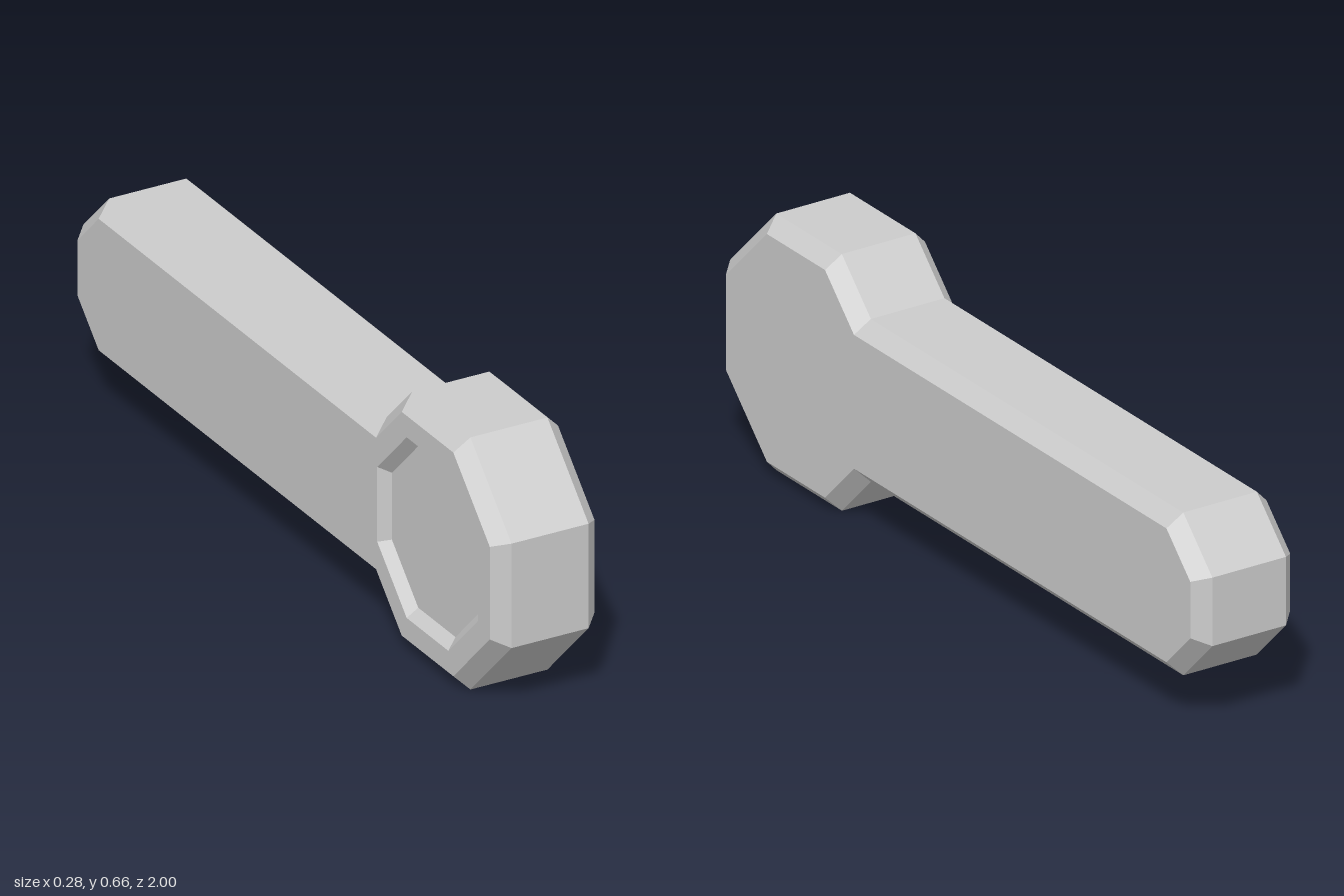
import * as THREE from 'three';

const HALF = 0.14, BEVEL = 0.037, MID_Y = 0.328;
const HEAD_U = -0.672, TAN = Math.tan(Math.PI / 8);

// Profiles run anticlockwise in (u, v), where u points towards the handle end.
// Octagonal head joined to a handle with a chamfered end, shrunk by an inset.
function outline(inset) {
  const r = 0.328 - inset, k = r * TAN;      // head
  const h = 0.208 - inset;                   // handle half height
  const e = 0.0875 - inset * TAN;            // flat end half height
  const end = 1 - inset;
  const upper = [
    [end, e], [end - (h - e), h], [HEAD_U + k + r - h, h],
    [HEAD_U + k, r], [HEAD_U - k, r], [HEAD_U - r, k],
  ];
  const lower = upper.map(([u, v]) => [u, -v]).reverse();
  return [...upper, ...lower].map(([u, v]) => new THREE.Vector2(u, v + MID_Y));
}

function octagon(r) {
  const points = [];
  for (let i = 0; i < 8; i++) {
    const a = (i + 0.5) * Math.PI / 4, R = r / Math.cos(Math.PI / 8);
    points.push(new THREE.Vector2(HEAD_U + R * Math.cos(a), MID_Y + R * Math.sin(a)));
  }
  return points;
}

// Wall joining two matching rings
function band(out, a, wa, b, wb) {
  a.forEach((p, i) => {
    const j = (i + 1) % a.length, q = a[j], s = b[j], t = b[i];
    out.push(p.x, p.y, wa, q.x, q.y, wa, s.x, s.y, wb);
    out.push(p.x, p.y, wa, s.x, s.y, wb, t.x, t.y, wb);
  });
}

// Flat face, optionally with holes
function cap(out, ring, w, flip, holes = []) {
  const points = [ring, ...holes].flat();
  for (const tri of THREE.ShapeUtils.triangulateShape(ring, holes)) {
    for (const i of flip ? [...tri].reverse() : tri) out.push(points[i].x, points[i].y, w);
  }
}

function makeMesh(name, positions, material) {
  const geometry = new THREE.BufferGeometry();
  geometry.setAttribute('position', new THREE.Float32BufferAttribute(positions, 3));
  geometry.rotateY(Math.PI / 2);
  geometry.computeVertexNormals();
  const mesh = new THREE.Mesh(geometry, material);
  mesh.name = name;
  return mesh;
}

export function createModel() {
  const group = new THREE.Group();
  group.name = 'handle';
  const grey = new THREE.MeshStandardMaterial({ color: 0xcccccc });
  grey.name = 'light grey';

  const full = outline(0), inner = outline(BEVEL);
  const rim = octagon(0.235), floor = octagon(0.21);
  const edge = HALF - BEVEL, depth = 0.025;

  // Bevelled body, open where the recess sits
  const body = [];
  band(body, inner, -HALF, full, -edge);
  band(body, full, -edge, full, edge);
  band(body, full, edge, inner, HALF);
  cap(body, inner, HALF, false);
  cap(body, inner, -HALF, true, [rim]);
  group.add(makeMesh('body', body, grey));

  // Shallow octagonal recess in the right side of the head
  const recess = [];
  band(recess, floor, -HALF + depth, rim, -HALF);
  cap(recess, floor, -HALF + depth, true);
  group.add(makeMesh('headRecess', recess, grey));

  return group;
}
